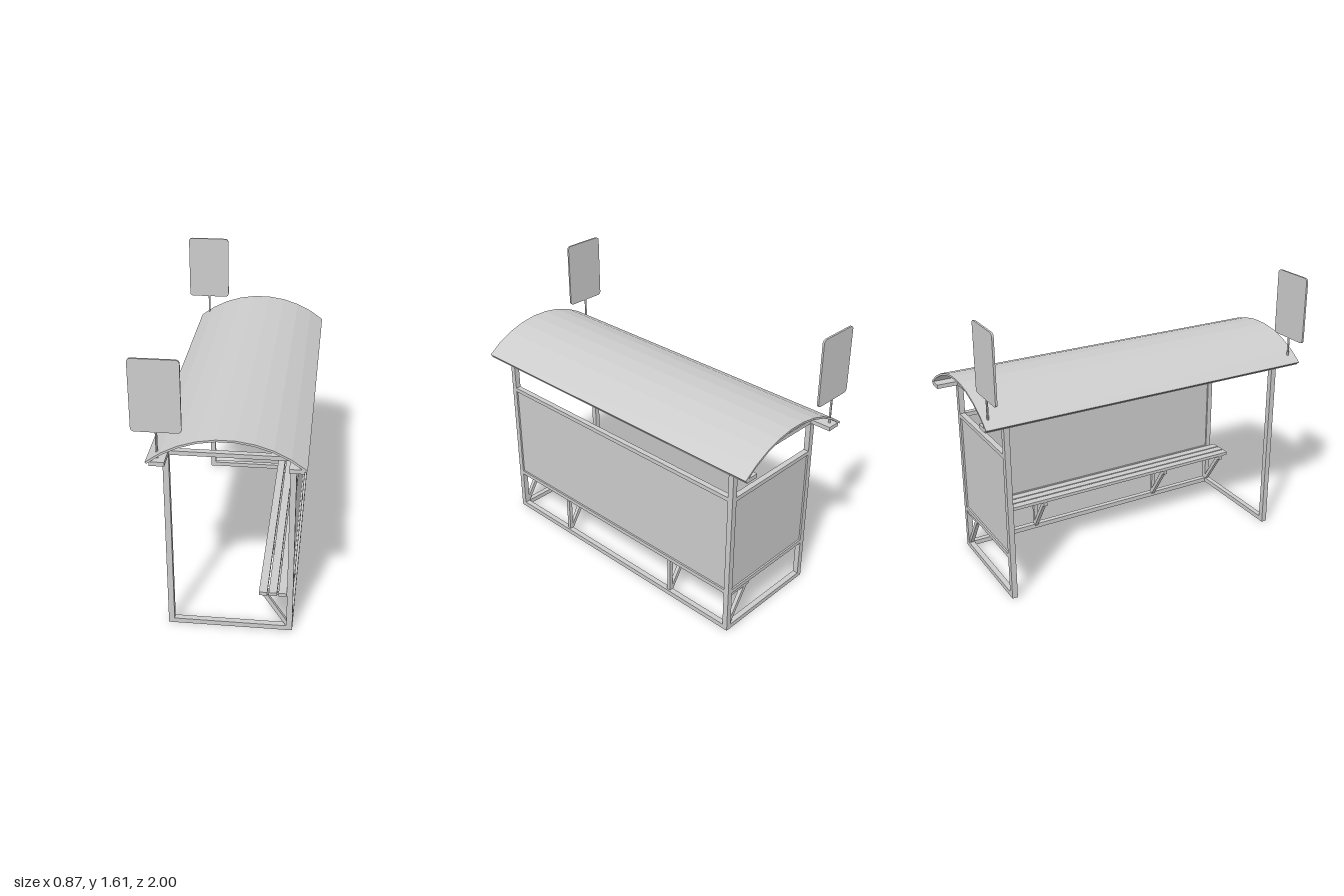
import * as THREE from 'three';

const material = new THREE.MeshStandardMaterial({ color: 0xcccccc, flatShading: true });

export function createModel() {
  const model = new THREE.Group();
  model.name = 'busShelter';

  const add = (name, geometry) => {
    const mesh = new THREE.Mesh(geometry, material);
    mesh.name = name;
    model.add(mesh);
    return mesh;
  };
  // Box given by its extents along each axis
  const box = (name, [x0, x1], [y0, y1], [z0, z1]) =>
    add(name, new THREE.BoxGeometry(x1 - x0, y1 - y0, z1 - z0)
      .translate((x0 + x1) / 2, (y0 + y1) / 2, (z0 + z1) / 2));
  // Outline in x and y, extruded along z around a centre
  const plate = (name, shape, depth, z, curveSegments = 4) =>
    add(name, new THREE.ExtrudeGeometry(shape, { depth, bevelEnabled: false, curveSegments })
      .translate(0, 0, z - depth / 2));

  const openX = [-0.3, -0.268], wallX = [0.345, 0.377];
  const innerX = [openX[1], wallX[0]];
  const endZ = { front: [0.848, 0.88], back: [-0.88, -0.848] };
  const innerZ = [-0.848, 0.848];
  const beamY = [1.057, 1.08], lowRailY = [0.25, 0.274], highRailY = [0.855, 0.879];

  // End frames: posts, floor rail and roof cross rail
  for (const [end, z] of Object.entries(endZ)) {
    box(end + 'OpenPost', openX, [0, 1.057], z);
    box(end + 'WallPost', wallX, [0, 1.057], z);
    box(end + 'FloorRail', innerX, [0, 0.028], z);
    box(end + 'RoofCrossRail', innerX, beamY, z);
  }

  // Long wall and the panel closing the back end
  box('wallFloorRail', wallX, [0, 0.028], innerZ);
  for (const [name, y] of [['LowRail', lowRailY], ['HighRail', highRailY]]) {
    box('wall' + name, wallX, y, innerZ);
    box('end' + name, innerX, y, endZ.back);
  }
  box('wallPanel', [0.355, 0.367], [0.274, 0.855], innerZ);
  box('endPanel', innerX, [0.274, 0.855], [-0.87, -0.858]);

  // Beams carrying the roof
  box('openSideRoofBeam', [-0.345, -0.268], beamY, [-1, 1]);
  box('wallSideRoofBeam', [0.345, 0.422], beamY, [-1, 1]);

  // Vaulted roof sheet
  const outer = 0.62, inner = 0.609, half = 0.7, segments = 9;
  const centre = [0.035, 1.222 - outer];
  const arc = (radius, i) => {
    const a = -half + (2 * half * i) / segments;
    return new THREE.Vector2(centre[0] + radius * Math.sin(a), centre[1] + radius * Math.cos(a));
  };
  const roof = [];
  for (let i = 0; i <= segments; i++) roof.push(arc(outer, i));
  for (let i = segments; i >= 0; i--) roof.push(arc(inner, i));
  plate('roof', new THREE.Shape(roof), 2, 0);

  // Bench slats
  for (let i = 0; i < 3; i++) {
    const x = 0.197 + i * 0.052;
    box('benchSlat', [x, x + 0.044], [0.25, 0.27], [-0.848, 0.915]);
  }

  // Triangular bench brackets
  const brace = new THREE.Shape([[0.21, 0.226], [0.345, 0.018], [0.345, 0.058], [0.238, 0.226]]
    .map(([x, y]) => new THREE.Vector2(x, y)));
  for (const z of [-0.862, -0.43, 0.43, 0.862]) {
    box('benchBracketArm', [0.195, 0.345], [0.226, 0.25], [z - 0.011, z + 0.011]);
    plate('benchBracketBrace', brace, 0.022, z);
    if (Math.abs(z) < 0.5) box('benchBracketPost', [0.345, 0.367], [0.028, 0.25], [z - 0.011, z + 0.011]);
  }

  // Sign boards with rounded corners on thin poles
  const x0 = -0.438, x1 = -0.184, y0 = 1.222, y1 = 1.61, r = 0.02;
  const board = new THREE.Shape();
  board.absarc(x1 - r, y0 + r, r, -Math.PI / 2, 0);
  board.absarc(x1 - r, y1 - r, r, 0, Math.PI / 2);
  board.absarc(x0 + r, y1 - r, r, Math.PI / 2, Math.PI);
  board.absarc(x0 + r, y0 + r, r, Math.PI, Math.PI * 1.5);
  for (const z of [0.953, -0.967]) {
    plate('signBoard', board, 0.011, z);
    add('signPole', new THREE.CylinderGeometry(0.006, 0.006, 0.16, 10).translate(-0.311, 1.15, z));
  }

  return model;
}
